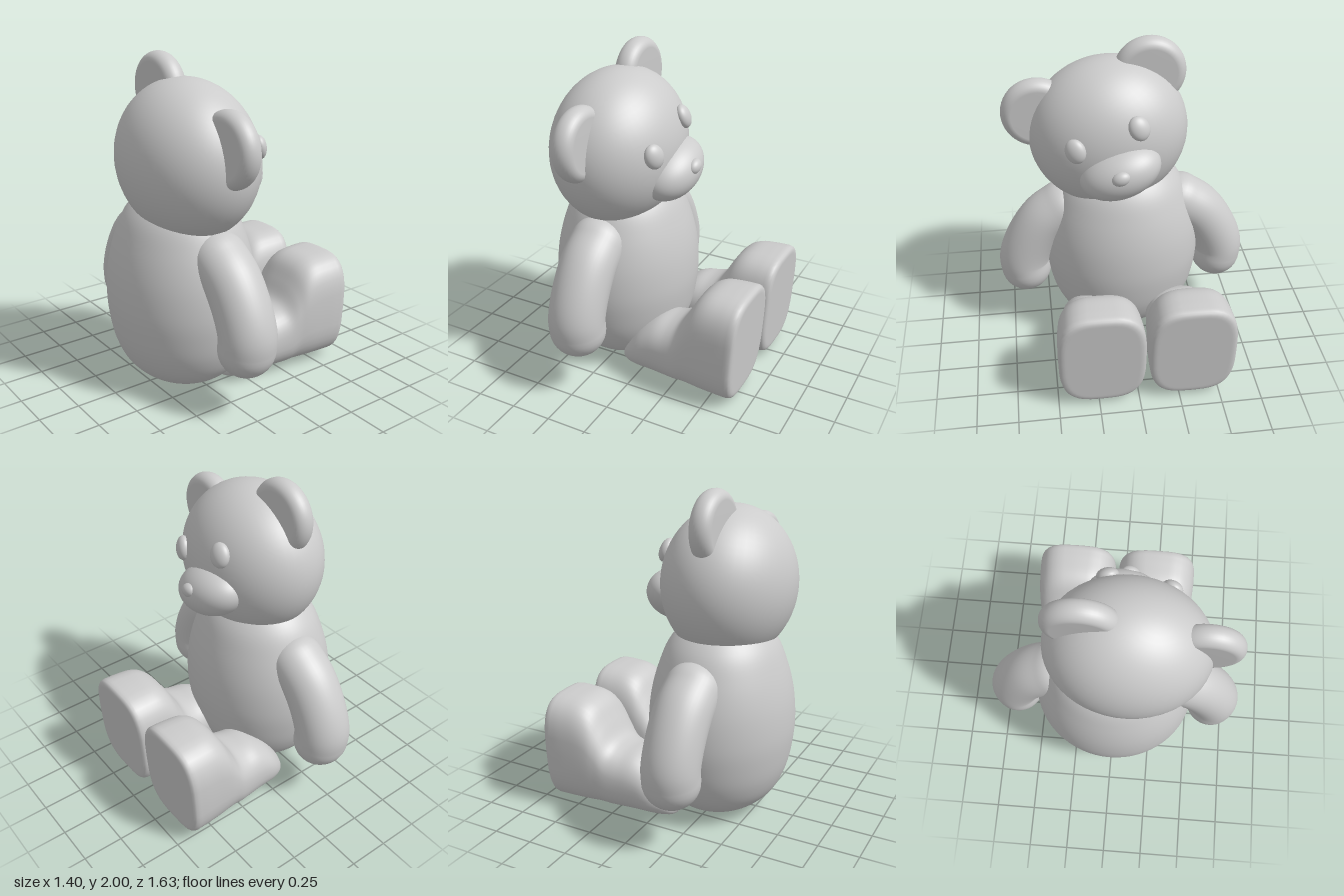
import * as THREE from 'three';

const material = new THREE.MeshStandardMaterial({ color: 0xcccccc });
const SEG = 40;

function part(name, geometry, parent) {
  const mesh = new THREE.Mesh(geometry, material);
  mesh.name = name;
  parent.add(mesh);
  return mesh;
}

function ellipsoid(name, parent, position, radii) {
  const mesh = part(name, new THREE.SphereGeometry(1, 48, 32), parent);
  mesh.position.set(...position);
  mesh.scale.set(...radii);
  return mesh;
}

// Smooth skin over a list of closed rings, each an array of SEG points
function loft(rings) {
  const positions = rings.flat().flatMap((p) => [p.x, p.y, p.z]);
  const index = [];
  for (let i = 0; i < rings.length - 1; i++) {
    for (let j = 0; j < SEG; j++) {
      const a = i * SEG + j, b = i * SEG + (j + 1) % SEG;
      index.push(a, b, a + SEG, b, b + SEG, a + SEG);
    }
  }
  const geometry = new THREE.BufferGeometry();
  geometry.setAttribute('position', new THREE.Float32BufferAttribute(positions, 3));
  geometry.setIndex(index);
  geometry.computeVertexNormals();
  return geometry;
}

// Curved, round-ended arm; side is +1 or -1 along z
function armGeometry(side) {
  const path = new THREE.CatmullRomCurve3(
    [[0.88, 0.38], [0.79, 0.5], [0.64, 0.6], [0.5, 0.65], [0.42, 0.645]]
      .map(([y, z]) => new THREE.Vector3(-0.25, y, side * z)));
  const across = new THREE.Vector3(1, 0, 0);
  const rings = [];
  const addRing = (t, shift, scale) => {
    const tangent = path.getTangent(t);
    const normal = across.clone().cross(tangent);
    const centre = path.getPoint(t).addScaledVector(tangent, shift);
    rings.push(Array.from({ length: SEG }, (_, j) => {
      const a = (j / SEG) * Math.PI * 2;
      return centre.clone()
        .addScaledVector(normal, Math.cos(a) * 0.165 * scale)
        .addScaledVector(across, Math.sin(a) * 0.172 * scale);
    }));
  };
  const r = 0.165, steps = 10;
  for (let k = 0; k < steps; k++) {
    const f = (k / steps) * Math.PI / 2;
    addRing(0, -r * Math.cos(f), Math.sin(f));
  }
  for (let k = 0; k <= 24; k++) addRing(k / 24, 0, 1);
  for (let k = 1; k <= steps; k++) {
    const f = (k / steps) * Math.PI / 2;
    addRing(1, r * Math.sin(f), Math.cos(f));
  }
  return loft(rings);
}

// Leg with an upright foot: stations of [x, bottom, top, half width, squareness]
function legGeometry() {
  const stations = [
    [-0.15, 0.09, 0.09, 0, 2], [-0.125, 0.03, 0.15, 0.09, 2], [-0.08, 0.02, 0.235, 0.15, 2.1],
    [0, 0.02, 0.335, 0.195, 2.2], [0.1, 0.02, 0.4, 0.21, 2.3], [0.2, 0.02, 0.415, 0.222, 2.4],
    [0.27, 0.02, 0.45, 0.232, 2.5], [0.325, 0.02, 0.55, 0.24, 2.6], [0.38, 0.02, 0.645, 0.25, 2.8],
    [0.45, 0.02, 0.69, 0.258, 3], [0.55, 0.02, 0.7, 0.265, 3.1], [0.625, 0.02, 0.7, 0.265, 3.2],
  ];
  const heights = new THREE.CatmullRomCurve3(
    stations.map((s) => new THREE.Vector3(s[0], s[1], s[2])), false, 'catmullrom');
  const widths = new THREE.CatmullRomCurve3(
    stations.map((s) => new THREE.Vector3(s[3], s[4], 0)), false, 'catmullrom');
  const rings = [];
  const addRing = (x, bottom, top, half, n) => {
    const power = (v) => Math.sign(v) * Math.abs(v) ** (2 / n);
    rings.push(Array.from({ length: SEG }, (_, j) => {
      const a = (j / SEG) * Math.PI * 2;
      const y = (bottom + top) / 2 + power(Math.cos(a)) * (top - bottom) / 2;
      const lean = 0.04 * (y / 0.7) * Math.max(0, x / 0.66);
      return new THREE.Vector3(x + lean, y, power(Math.sin(a)) * half);
    }));
  };
  for (let k = 0; k <= 55; k++) {
    const h = heights.getPoint(k / 55), w = widths.getPoint(k / 55);
    addRing(h.x, h.y, h.z, Math.max(0, w.x), w.y);
  }
  // Rounded rim, then the flat sole
  for (const [x, inset] of [[0.642, 0.004], [0.652, 0.012], [0.658, 0.025], [0.659, 0.04], [0.659, 0.05]]) {
    addRing(x, 0.02 + inset, 0.7 - inset, 0.265 - inset, 3.2);
  }
  addRing(0.659, 0.36, 0.36, 0, 3.2);
  return loft(rings);
}

// Thick disc with a rounded rim, its axis along x
function earGeometry() {
  const r = 0.22, h = 0.068, rim = 0.06;
  const profile = [new THREE.Vector2(0, -h)];
  for (let k = 0; k <= 16; k++) {
    const a = -Math.PI / 2 + (k / 16) * Math.PI;
    profile.push(new THREE.Vector2(r - rim + Math.cos(a) * rim, Math.sin(a) * h));
  }
  profile.push(new THREE.Vector2(0, h));
  return new THREE.LatheGeometry(profile, 48).rotateZ(-Math.PI / 2);
}

export function createModel() {
  const bear = new THREE.Group();
  bear.name = 'teddyBear';

  // Pear-shaped body, wider from side to side
  const outline = new THREE.SplineCurve(
    [[0, 0], [0.13, 0.008], [0.24, 0.045], [0.34, 0.14], [0.4, 0.27], [0.43, 0.42], [0.44, 0.57],
      [0.425, 0.75], [0.38, 0.93], [0.31, 1.09], [0.19, 1.2], [0, 1.25]]
      .map(([x, y]) => new THREE.Vector2(x, y)));
  const profile = outline.getPoints(60);
  profile.forEach((p) => { p.x = Math.max(0, p.x); });
  const body = part('body', new THREE.LatheGeometry(profile, 64), bear);
  body.position.x = -0.26;
  body.scale.z = 1.14;

  // Limbs: the bear faces +x, so its left is -z
  part('leftArm', armGeometry(-1), bear);
  part('rightArm', armGeometry(1), bear);
  const leg = legGeometry();
  part('leftLeg', leg, bear).position.z = -0.325;
  part('rightLeg', leg, bear).position.z = 0.225;

  // Head tilted to one side, with its features
  const head = new THREE.Group();
  head.name = 'head';
  head.position.set(-0.26, 1.41, 0.08);
  head.rotation.x = 0.325;
  bear.add(head);
  ellipsoid('skull', head, [0, 0, 0], [0.395, 0.468, 0.492]);
  ellipsoid('muzzle', head, [0.33, -0.11, 0], [0.18, 0.16, 0.25]);
  ellipsoid('nose', head, [0.485, -0.065, 0], [0.04, 0.043, 0.056]);
  const ear = earGeometry();
  for (const [label, side] of [['left', -1], ['right', 1]]) {
    const eye = ellipsoid(label + 'Eye', head, [0.352, 0.13, side * 0.195], [0.042, 0.075, 0.063]);
    eye.rotation.set(0, -side * 0.35, 0.25);
    part(label + 'Ear', ear, head).position.set(-0.01, 0.27, side * 0.36);
  }
  return bear;
}
